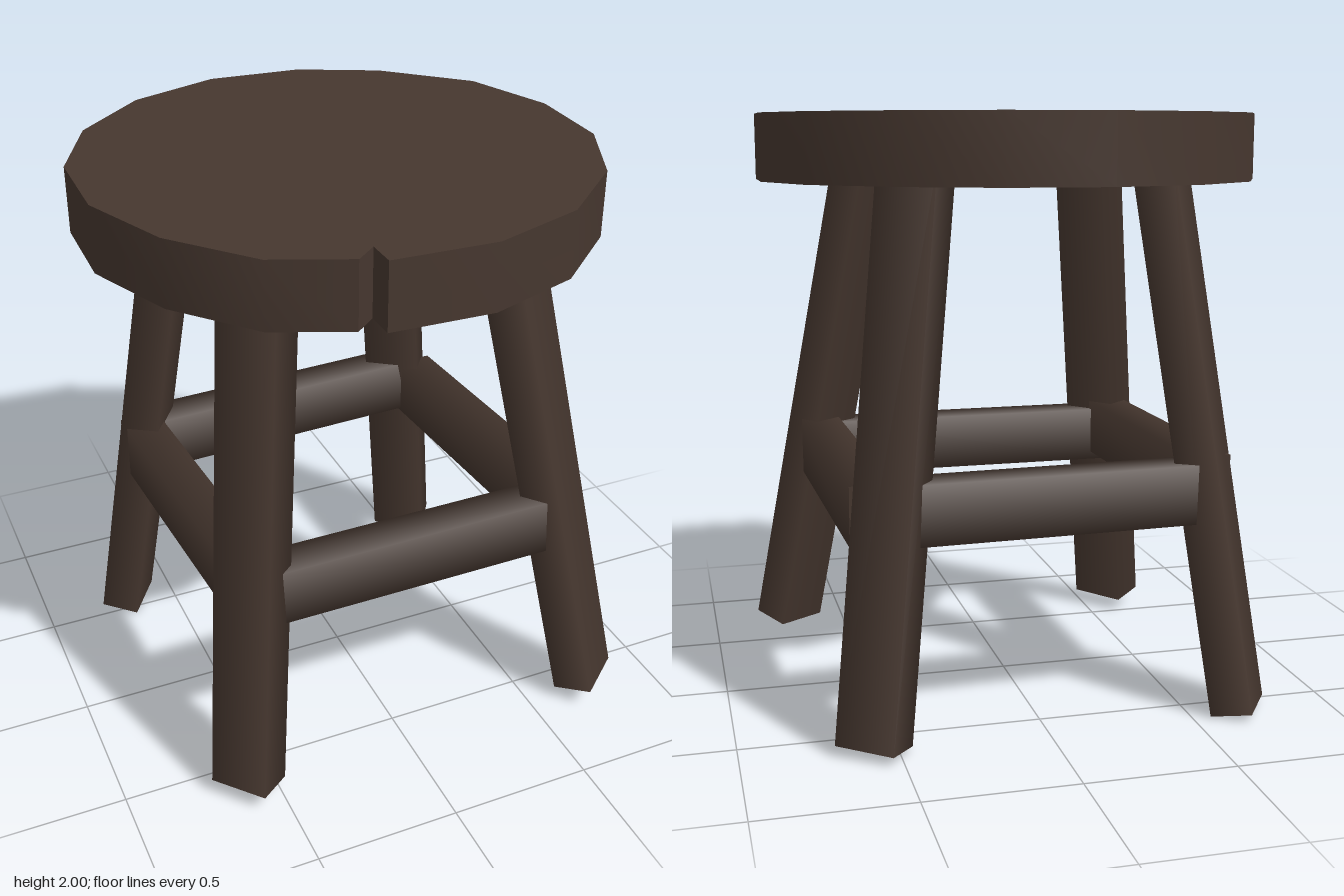
import * as THREE from 'three';
import { toCreasedNormals } from 'three/addons/utils/BufferGeometryUtils.js';

const V = (x, y, z) => new THREE.Vector3(x, y, z);

export function createModel() {
  const group = new THREE.Group();
  const wood = new THREE.MeshStandardMaterial({ color: 0x46372f });
  wood.name = 'darkWood';

  // Four-sided beam from a to b; "out" is the direction its broad face looks.
  function beam(name, a, b, out, width, depth) {
    const axis = b.clone().sub(a);
    const length = axis.length();
    axis.normalize();
    const z = out.clone().addScaledVector(axis, -out.dot(axis)).normalize();
    const x = axis.clone().cross(z);
    const geometry = new THREE.CylinderGeometry(Math.SQRT1_2, Math.SQRT1_2, length, 4, 1, false, Math.PI / 4);
    geometry.scale(width, 1, depth);
    geometry.applyMatrix4(new THREE.Matrix4().makeBasis(x, axis, z));
    const mid = a.clone().add(b).multiplyScalar(0.5);
    geometry.translate(mid.x, mid.y, mid.z);
    const mesh = new THREE.Mesh(geometry, wood);
    mesh.name = name;
    group.add(mesh);
  }

  // Seat: rough round slab with a chip in the front edge
  const outline = [
    [-0.13, -0.85], [0.2, -0.83], [0.47, -0.7], [0.73, -0.45], [0.84, -0.13], [0.83, 0.2],
    [0.69, 0.5], [0.44, 0.73], [0.13, 0.84], [-0.21, 0.83], [-0.21, 0.73], [-0.28, 0.79],
    [-0.52, 0.69], [-0.73, 0.44], [-0.85, 0.13], [-0.84, -0.2], [-0.7, -0.5], [-0.45, -0.73],
  ].map(([x, z]) => new THREE.Vector2(x, z));
  const slab = new THREE.ExtrudeGeometry(new THREE.Shape(outline), { depth: 0.22, bevelEnabled: false });
  slab.rotateX(Math.PI / 2);
  slab.translate(0, 2, 0);
  const seat = new THREE.Mesh(toCreasedNormals(slab, 0.6), wood);
  seat.name = 'seat';
  group.add(seat);

  // Splayed legs: foot, top and facing direction; tops sink into the seat
  const legs = [
    ['frontLeftLeg', V(0.72, 0.07, 0.62), V(0.43, 1.78, 0.37), V(0.63, 0, 0.78)],
    ['frontRightLeg', V(-0.6, 0.06, 0.625), V(-0.44, 1.78, 0.42), V(-0.76, 0, 0.64)],
    ['backLeftLeg', V(0.58, 0.03, -0.635), V(0.4, 1.78, -0.48), V(0.58, 0, -0.81)],
    ['backRightLeg', V(-0.675, 0.018, -0.58), V(-0.44, 1.78, -0.39), V(-0.83, 0, -0.55)],
  ];
  for (const [name, foot, top, out] of legs) {
    beam(name, foot, foot.clone().lerp(top, 1.035), out, 0.205, 0.14);
  }

  // Rails joining neighbouring legs
  beam('frontRail', V(-0.52, 0.76, 0.53), V(0.54, 0.76, 0.52), V(0, 0, 1), 0.2, 0.14);
  beam('backRail', V(-0.55, 0.765, -0.51), V(0.52, 0.765, -0.56), V(0, 0, -1), 0.2, 0.14);
  beam('leftRail', V(0.6, 0.78, 0.47), V(0.56, 0.752, -0.53), V(1, 0, 0), 0.2, 0.14);
  beam('rightRail', V(-0.54, 0.79, 0.5), V(-0.59, 0.775, -0.5), V(-1, 0, 0), 0.2, 0.14);

  return group;
}
